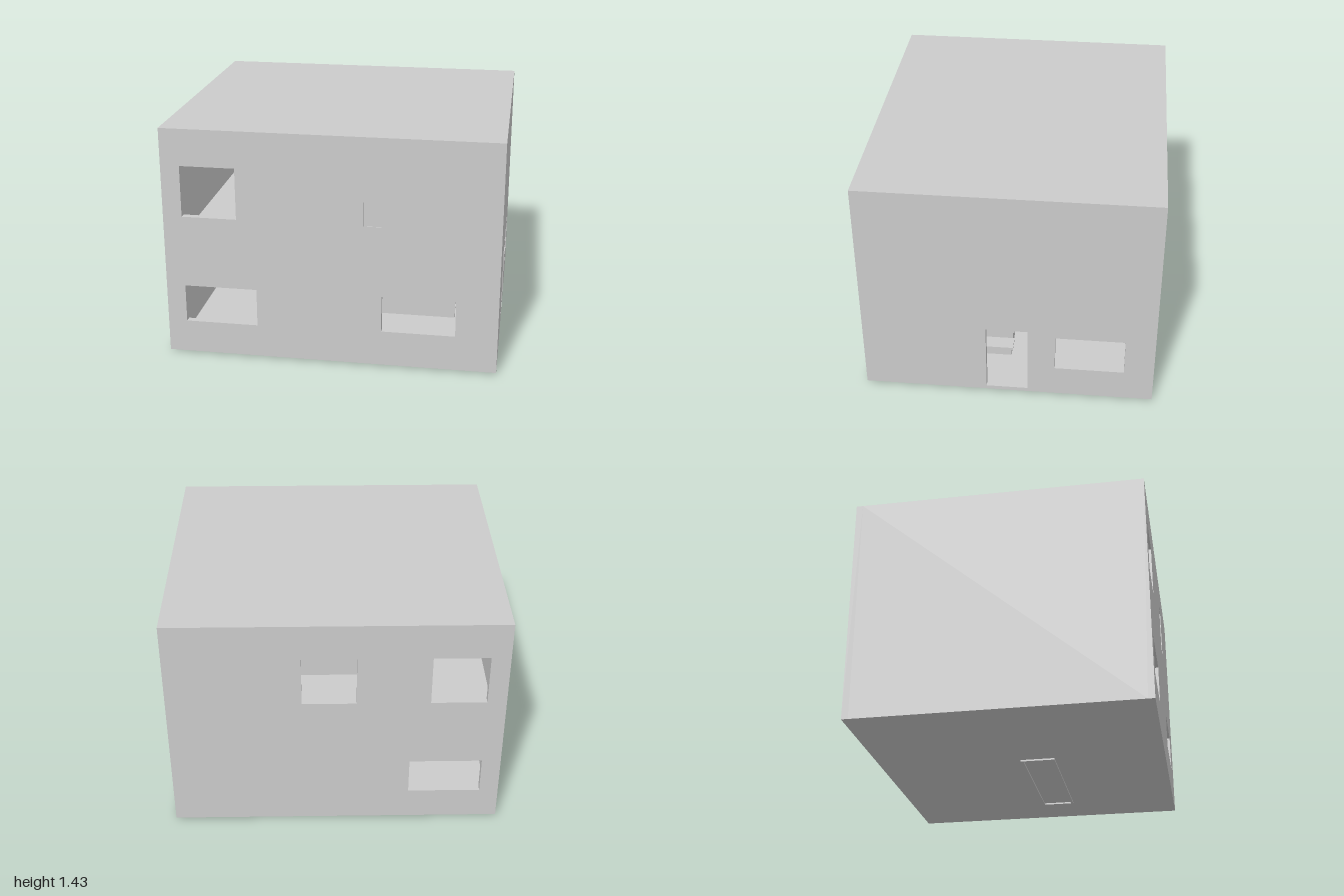
import * as THREE from 'three';

const material = new THREE.MeshStandardMaterial({ color: 0xcccccc, flatShading: true });
const smooth = new THREE.MeshStandardMaterial({ color: 0xcccccc });

function add(group, name, geometry, mat = material) {
  const mesh = new THREE.Mesh(geometry, mat);
  mesh.name = name;
  group.add(mesh);
  return mesh;
}

function box(group, name, x0, x1, y0, y1, z0, z1) {
  const mesh = add(group, name, new THREE.BoxGeometry(x1 - x0, y1 - y0, z1 - z0));
  mesh.position.set((x0 + x1) / 2, (y0 + y1) / 2, (z0 + z1) / 2);
}

// Flat slab with rectangular openings, each given as [u0, u1, v0, v1]
function slab([u0, u1, v0, v1], openings, depth) {
  const trace = (path, a, b, c, d) => path.moveTo(a, c).lineTo(b, c).lineTo(b, d).lineTo(a, d).closePath();
  const shape = trace2(new THREE.Shape(), u0, u1, v0, v1);
  for (const o of openings) shape.holes.push(trace2(new THREE.Path(), ...o));
  return new THREE.ExtrudeGeometry(shape, { depth, bevelEnabled: false });
}

function trace2(path, a, b, c, d) {
  path.moveTo(a, c);
  path.lineTo(b, c);
  path.lineTo(b, d);
  path.lineTo(a, d);
  path.closePath();
  return path;
}

// Wall across the house, its back face at z
function wallX(group, name, z, outline, openings = [], t = 0.04) {
  add(group, name, slab(outline, openings, t)).position.z = z;
}

// Wall along the house, its right-hand face at x; outline and openings use z
function wallZ(group, name, x, [z0, z1, y0, y1], openings = [], t = 0.04) {
  const flipped = openings.map(([a, b, c, d]) => [-b, -a, c, d]);
  const geometry = slab([-z1, -z0, y0, y1], flipped, t).rotateY(Math.PI / 2);
  add(group, name, geometry).position.x = x;
}

// Horizontal slab with its underside at y; outline and openings use x and z
function deck(group, name, y, [x0, x1, z0, z1], openings, t) {
  const flipped = openings.map(([a, b, c, d]) => [a, b, -d, -c]);
  const geometry = slab([x0, x1, -z1, -z0], flipped, t).rotateX(-Math.PI / 2);
  add(group, name, geometry).position.y = y;
}

export function createModel() {
  const house = new THREE.Group();
  house.name = 'house';
  const W = 1, D = 0.885, T = 0.04, BASE = 0.01, TOP = 1.43;
  const FLOOR = 0.03, CEILING = 0.64, UPPER = 0.68;

  // Outer shell
  const lowerLeft = [-0.885, -0.445, 0.213, 0.447];
  const upperLeft = [-0.885, -0.555, 0.89, 1.205];
  const slot = [0.203, 0.317, 0.893, 1.207];
  wallX(house, 'frontWall', D - T, [-W, W, BASE, TOP],
    [lowerLeft, upperLeft, slot, [0.31, 0.75, 0.23, 0.455]]);
  wallX(house, 'backWall', -D, [-W, W, BASE, TOP],
    [lowerLeft, upperLeft, [-0.12, 0.203, 0.89, 1.205]]);
  wallZ(house, 'entranceWall', W - T, [-D + T, D - T, BASE, TOP],
    [[-0.12, 0.133, 0.035, 0.485], [-0.705, -0.285, 0.213, 0.45]]);
  wallZ(house, 'plainWall', -W, [-D + T, D - T, BASE, TOP]);
  box(house, 'slotPanel', slot[0], slot[1], slot[2], slot[3], D - 0.03, D - 0.005);

  // Floors and flat roof
  const inner = [-W + T, W - T, -D + T, D - T];
  deck(house, 'groundFloor', BASE, inner, [], FLOOR - BASE);
  deck(house, 'upperFloor', CEILING, inner, [[-0.18, 0.6, 0.02, 0.19]], UPPER - CEILING);
  deck(house, 'roof', TOP - T, inner, [], T);

  // Interior partitions with doorways
  wallZ(house, 'lowerPartition', -0.23, [-D + T, D - T, FLOOR, CEILING],
    [[-0.535, -0.325, FLOOR + 0.002, 0.485]]);
  wallZ(house, 'upperPartition', -0.53, [-D + T, D - T, UPPER, TOP - T],
    [[-0.82, -0.53, UPPER + 0.002, 1.3]]);
  wallX(house, 'upperRoomWall', -0.3, [-0.49, W - T, UPPER, TOP - T]);

  // Staircase climbing away from the entrance
  const stairs = new THREE.Group();
  stairs.name = 'staircase';
  house.add(stairs);
  const COUNT = 10, rise = (UPPER - FLOOR) / COUNT, run = 0.88 / COUNT;
  for (let i = 0; i < COUNT; i++) {
    const front = 0.7 - i * run, top = FLOOR + (i + 1) * rise;
    box(stairs, 'step', front - run, front, FLOOR, top - 0.015, 0.01, 0.19);
    box(stairs, 'tread', front - run, front + 0.008, top - 0.015, top, 0, 0.19);
  }
  box(stairs, 'stairWall', -0.18, 0.705, FLOOR, CEILING, 0.19, 0.21);
  // Rim of the stair base showing under the floor
  deck(stairs, 'stairBase', 0, [-0.18, 0.7, 0, 0.21], [[-0.165, 0.685, 0.015, 0.195]], BASE);

  // Cupboard door under the stairs, with its handle
  box(stairs, 'cupboardDoor', -0.16, 0.06, FLOOR + 0.005, 0.44, 0, 0.01);
  const knob = new THREE.Group();
  knob.name = 'doorHandle';
  knob.position.set(0.03, 0.245, 0);
  stairs.add(knob);
  add(knob, 'handleStem', new THREE.CylinderGeometry(0.008, 0.008, 0.025, 16).rotateX(Math.PI / 2), smooth)
    .position.z = -0.012;
  add(knob, 'handleKnob', new THREE.SphereGeometry(0.018, 20, 14).scale(1, 1, 0.7), smooth)
    .position.z = -0.025;

  return house;
}
